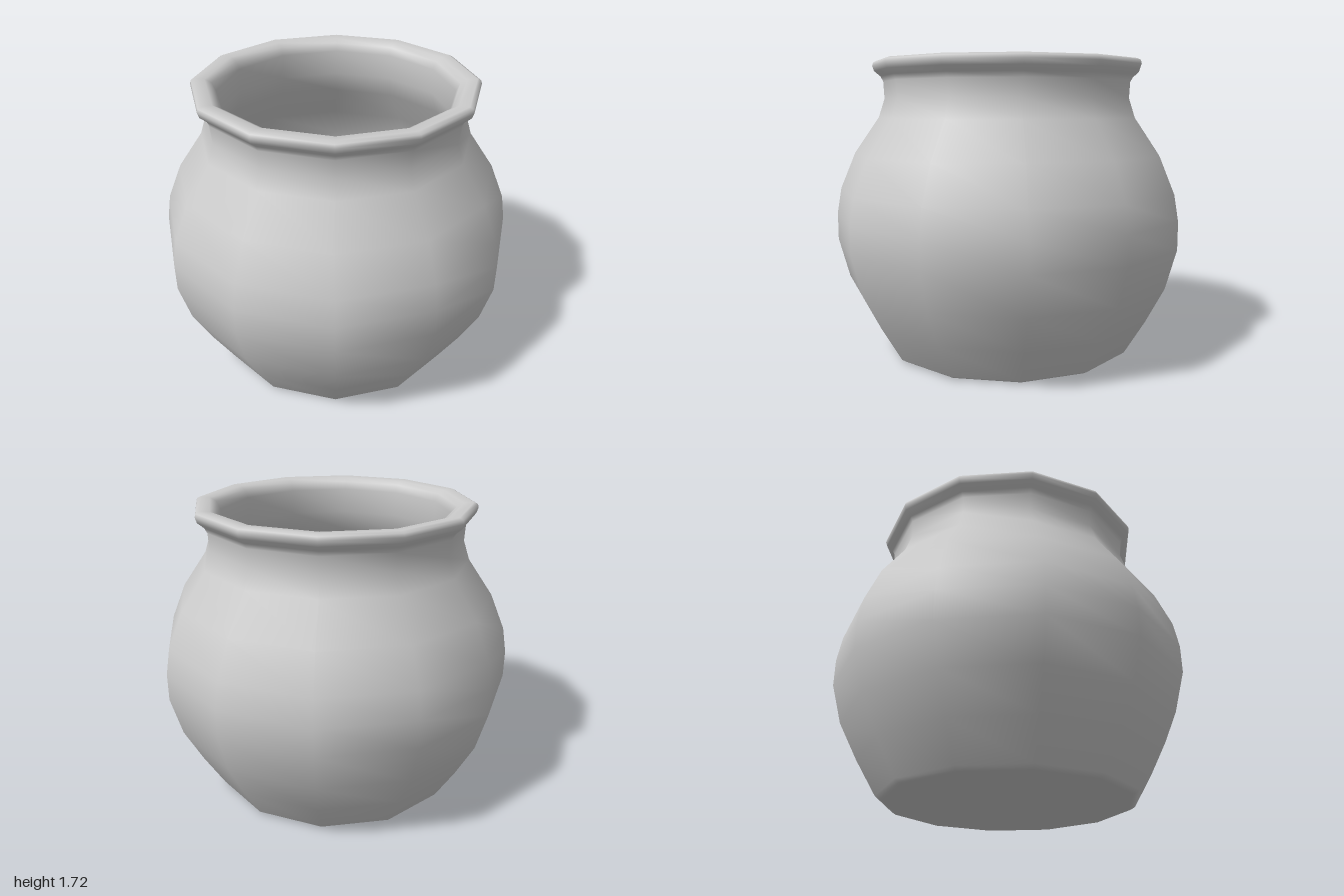
import * as THREE from 'three';

const SIDES = 12;
// Profiles give the distance to the flat sides; convert to corner radius.
const CORNER = 1 / Math.cos(Math.PI / SIDES);

function turned(name, profile) {
  const points = profile.map(([r, y]) => new THREE.Vector2(r * CORNER, y));
  const geometry = new THREE.LatheGeometry(points, SIDES, Math.PI / SIDES);
  const material = new THREE.MeshStandardMaterial({ color: 0xcccccc });
  const mesh = new THREE.Mesh(geometry, material);
  mesh.name = name;
  return mesh;
}

export function createModel() {
  const group = new THREE.Group();
  group.name = 'pot';

  // One continuous wall: base, belly, neck, rolled rim, then back down inside
  group.add(turned('potBody', [
    // flat base with a small bevel
    [0, 0], [0.68, 0], [0.695, 0.003], [0.72, 0.02],
    // belly
    [0.835, 0.22], [0.94, 0.43], [1, 0.66], [1, 0.82], [0.975, 0.97], [0.89, 1.18],
    // neck
    [0.75, 1.39], [0.715, 1.5], [0.72, 1.6],
    // rolled rim
    [0.735, 1.63], [0.77, 1.66], [0.78, 1.69], [0.775, 1.71], [0.755, 1.72],
    [0.7, 1.715], [0.665, 1.695], [0.645, 1.65],
    // inner neck, belly and floor
    [0.65, 1.5], [0.69, 1.37], [0.83, 1.15], [0.915, 0.95], [0.94, 0.81],
    [0.94, 0.67], [0.88, 0.45], [0.78, 0.24], [0.67, 0.08], [0, 0.06],
  ]));

  return group;
}
